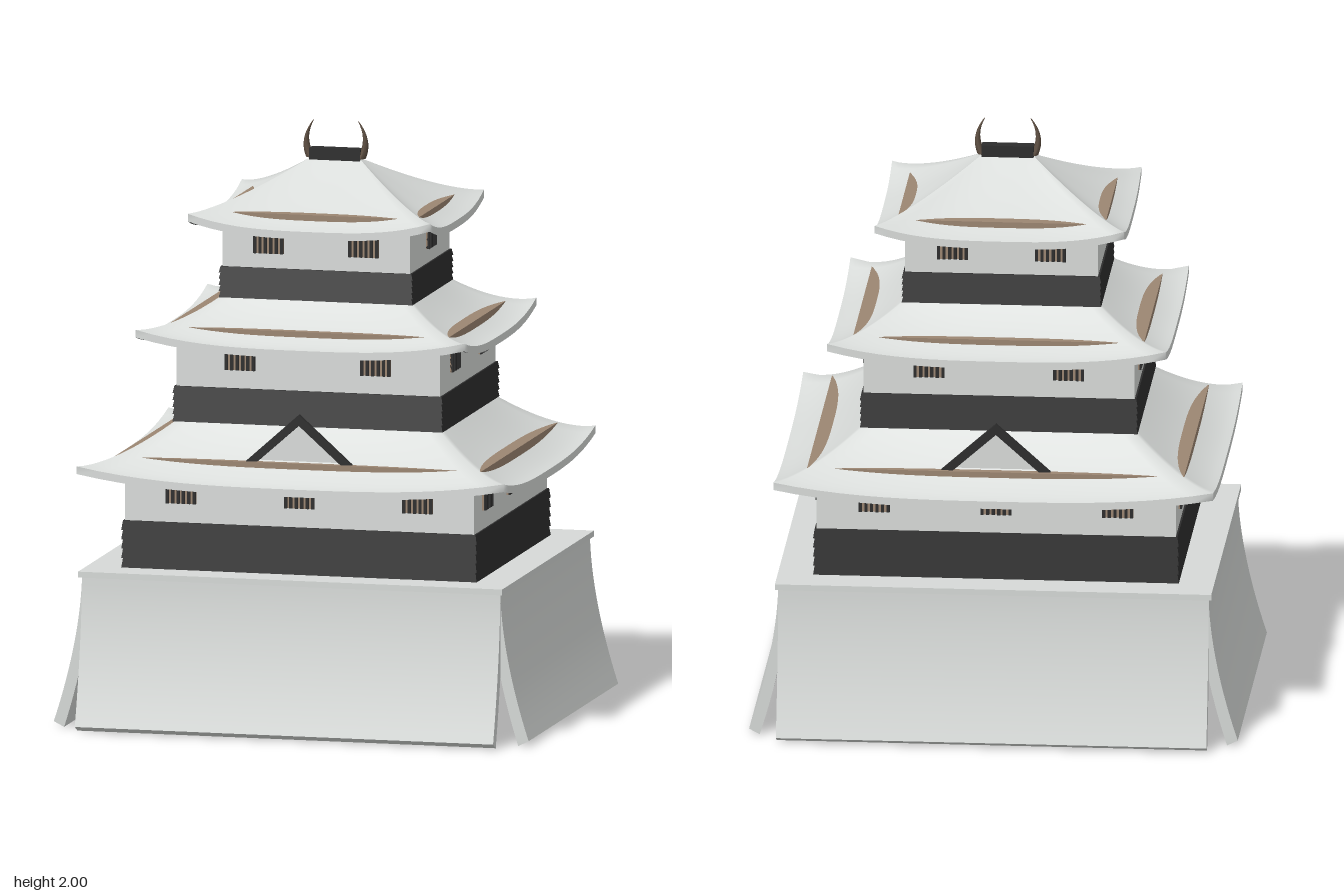
import * as THREE from 'three';
import { toCreasedNormals } from 'three/addons/utils/BufferGeometryUtils.js';

const material = (name, color) => {
  const m = new THREE.MeshStandardMaterial({ color });
  m.name = name;
  return m;
};

export function createModel() {
  const plaster = material('pale plaster', 0xd9dcda);
  const stone = material('pale stone', 0xd6d9d7);
  const tile = material('pale roof', 0xd9dcda);
  const soffit = material('soffit grey', 0x626463);
  const charcoal = material('charcoal wood', 0x2d2d2d);
  const brown = material('brown wood', 0x9c8672);
  const bronze = material('dark bronze', 0x5c4d40);

  const model = new THREE.Group();
  model.name = 'castleKeep';

  const add = (parent, name, geometry, mat, x = 0, y = 0, z = 0) => {
    const mesh = new THREE.Mesh(geometry, mat);
    mesh.name = name;
    mesh.position.set(x, y, z);
    parent.add(mesh);
    return mesh;
  };
  // Box given by half extents in plan and a height range
  const block = (parent, name, hx, hz, y0, y1, mat) =>
    add(parent, name, new THREE.BoxGeometry(hx * 2, y1 - y0, hz * 2), mat, 0, (y0 + y1) / 2, 0);

  // Surface through closed rings of points, smooth all round
  const loft = (rings) => {
    const n = rings[0].length, index = [];
    for (let j = 0; j < rings.length - 1; j++) {
      for (let i = 0; i < n; i++) {
        const a = j * n + i, b = j * n + (i + 1) % n;
        index.push(a, b, b + n, a, b + n, a + n);
      }
    }
    const g = new THREE.BufferGeometry();
    g.setAttribute('position', new THREE.Float32BufferAttribute(rings.flat(2), 3));
    g.setIndex(index);
    g.computeVertexNormals();
    return g;
  };

  // Curved stone skirt: four separate slabs, open at the corners and below
  const slab = (top, width) => {
    const outer = [], inner = [];
    for (let i = 0; i <= 14; i++) {
      const k = i / 14, flare = 0.098 * Math.pow(1 - k, 1.7);
      outer.push(new THREE.Vector2(top + flare, 0.02 + 0.505 * k));
      inner.push(new THREE.Vector2(top + flare - 0.036, 0.002 + 0.523 * k));
    }
    const shape = new THREE.Shape([...outer, ...inner.reverse()]);
    const g = new THREE.ExtrudeGeometry(shape, { depth: width, bevelEnabled: false });
    g.translate(0, 0, -width / 2);
    return toCreasedNormals(g, 0.5);
  };
  const base = new THREE.Group();
  base.name = 'stoneBase';
  model.add(base);
  for (let k = 0; k < 4; k++) {
    const g = k % 2 ? slab(0.605, 1.45) : slab(0.725, 1.21);
    add(base, 'baseWall', g, stone).rotation.y = k * Math.PI / 2;
  }
  block(base, 'baseCap', 0.735, 0.62, 0.515, 0.535, stone);

  // Barred window, built facing +z
  const windowGroup = (w, h) => {
    const g = new THREE.Group();
    g.name = 'window';
    add(g, 'windowPanel', new THREE.BoxGeometry(w, h, 0.006), brown, 0, 0, 0.003);
    for (let i = 0; i < 6; i++) {
      add(g, 'windowBar', new THREE.BoxGeometry(w * 0.1, h, 0.012), charcoal,
        -w * 0.45 + i * w * 0.18, 0, 0.006);
    }
    return g;
  };

  // Storey: lapped boards below, plaster above, windows on all sides
  const storey = ({ hx, hz, y0, yBand, y1, yWin, front, side }) => {
    const g = new THREE.Group();
    g.name = 'storey';
    model.add(g);
    block(g, 'plasterWall', hx, hz, y0 - 0.01, y1, plaster);
    const boards = 5, h = (yBand - y0) / boards;
    for (let i = 0; i < boards; i++) {
      const ring = (e, y) => [[-hx - e, y, hz + e], [hx + e, y, hz + e],
        [hx + e, y, -hz - e], [-hx - e, y, -hz - e]];
      const y = y0 + i * h;
      const board = loft([ring(0, y), ring(0.011, y), ring(0.006, y + h), ring(0, y + h)]);
      add(g, 'wallBoard', toCreasedNormals(board, 0.3), charcoal);
    }
    for (const s of [1, -1]) {
      for (const x of front) {
        const w = windowGroup(0.104, 0.07);
        w.position.set(x, yWin, s * hz);
        w.rotation.y = s > 0 ? 0 : Math.PI;
        g.add(w);
      }
      for (const z of side) {
        const w = windowGroup(0.104, 0.07);
        w.position.set(s * hx, yWin, z);
        w.rotation.y = s * Math.PI / 2;
        g.add(w);
      }
    }
  };
  storey({ hx: 0.605, hz: 0.49, y0: 0.535, yBand: 0.695, y1: 0.87, yWin: 0.795,
    front: [-0.41, 0, 0.41], side: [-0.33, 0, 0.33] });
  storey({ hx: 0.457, hz: 0.374, y0: 1.02, yBand: 1.14, y1: 1.31, yWin: 1.237,
    front: [-0.235, 0.235], side: [-0.19, 0.19] });
  storey({ hx: 0.325, hz: 0.265, y0: 1.43, yBand: 1.535, y1: 1.69, yWin: 1.62,
    front: [-0.165, 0.165], side: [0] });

  // Sweeping hipped roof with upturned corners
  const roof = ({ eave, top, y0, y1, power, lift, beam }) => {
    const g = new THREE.Group();
    g.name = 'roof';
    model.add(g);
    const N = 20, M = 14, thick = 0.026;
    const ring = (t, drop) => {
      const hx = THREE.MathUtils.lerp(eave[0], top[0], t);
      const hz = THREE.MathUtils.lerp(eave[1], top[1], t);
      const pts = [];
      for (let k = 0; k < 4; k++) {
        for (let i = 0; i < N; i++) {
          const s = -1 + 2 * i / N;
          const y = y0 + (y1 - y0) * Math.pow(t, power)
            + lift * Math.pow(Math.abs(s), 3) * (1 - t) - drop;
          pts.push([[s * hx, y, hz], [hx, y, -s * hz], [-s * hx, y, -hz], [-hx, y, s * hz]][k]);
        }
      }
      return pts;
    };
    const steps = Array.from({ length: M + 1 }, (_, j) => j / M);
    add(g, 'roofTop', loft(steps.map((t) => ring(t, 0))), tile);
    add(g, 'roofUnderside', loft(steps.map((t) => ring(1 - t, thick))), soffit);
    add(g, 'eaveEdge', loft([ring(0, thick), ring(0, 0)]), tile);
    // Timber frame breaking through the hollow of the roof
    block(g, 'roofBeam', beam[0], beam[1], beam[2] - 0.035, beam[2], brown);
  };
  roof({ eave: [0.74, 0.62], top: [0.455, 0.375], y0: 0.845, y1: 1.025, power: 1.5,
    lift: 0.048, beam: [0.635, 0.515, 0.915] });
  roof({ eave: [0.57, 0.485], top: [0.325, 0.265], y0: 1.295, y1: 1.437, power: 1.6,
    lift: 0.048, beam: [0.49, 0.4, 1.345] });
  roof({ eave: [0.42, 0.365], top: [0.085, 0.008], y0: 1.68, y1: 1.875, power: 1.32,
    lift: 0.045, beam: [0.35, 0.29, 1.725] });

  // Gables on the front and back of the lowest roof
  for (const s of [1, -1]) {
    const gable = new THREE.Group();
    gable.name = 'gable';
    gable.rotation.y = s > 0 ? 0 : Math.PI;
    model.add(gable);
    const chevron = new THREE.Shape([[-0.19, 0.91], [-0.15, 0.91], [0, 1.043], [0.15, 0.91],
      [0.19, 0.91], [0, 1.08]].map((p) => new THREE.Vector2(...p)));
    add(gable, 'gableBoards',
      new THREE.ExtrudeGeometry(chevron, { depth: 0.016, bevelEnabled: false }), charcoal, 0, 0, 0.488);
    const panel = new THREE.Shape([[-0.16, 0.9], [0.16, 0.9], [0, 1.06]]
      .map((p) => new THREE.Vector2(...p)));
    add(gable, 'gablePanel',
      new THREE.ExtrudeGeometry(panel, { depth: 0.008, bevelEnabled: false }), plaster, 0, 0, 0.477);
  }

  // Ridge beam with a curved horn at each end
  block(model, 'ridgeBeam', 0.088, 0.02, 1.868, 1.908, charcoal);
  for (const s of [1, -1]) {
    const horn = new THREE.CylinderGeometry(0.002, 0.02, 0.125, 10, 10);
    const p = horn.attributes.position;
    for (let i = 0; i < p.count; i++) {
      const k = p.getY(i) / 0.125 + 0.5;
      const bend = 0.088 + 0.065 * k - 0.075 * k * k;
      p.setX(i, p.getX(i) * 0.75 + s * bend);
    }
    horn.computeVertexNormals();
    add(model, 'ridgeHorn', horn, bronze, 0, 1.9375, 0);
  }
  return model;
}
